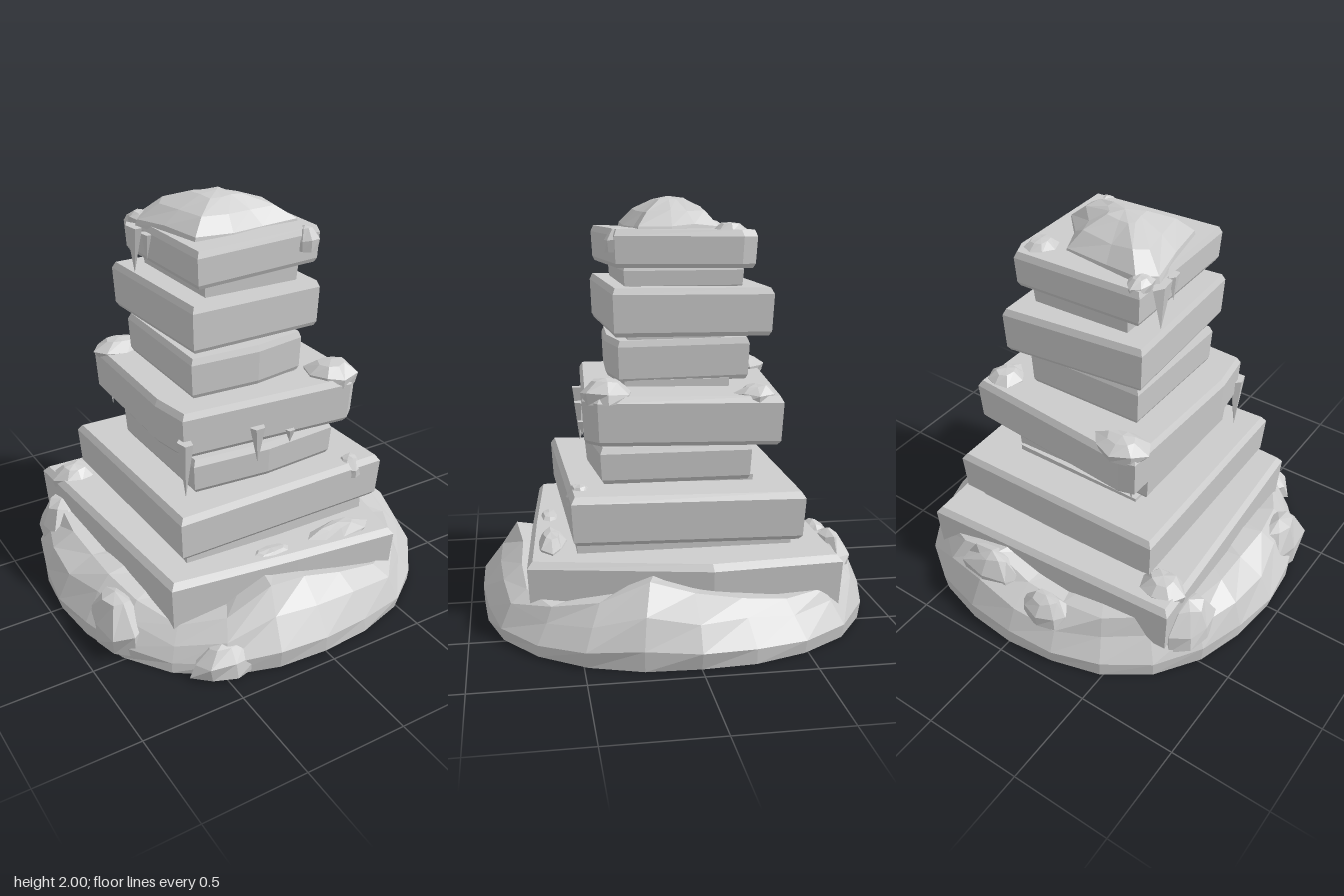
import * as THREE from 'three';

const stone = new THREE.MeshStandardMaterial({ color: 0xcccccc, flatShading: true });
stone.name = 'pale grey';

// Small seeded noise
let seed = 7;
function rand() {
  seed = (seed * 16807) % 2147483647;
  return seed / 2147483647;
}
const jitter = (a) => (rand() - 0.5) * 2 * a;

// Joins rings of [x, y, z] points (listed from +x towards +z, bottom ring first) and caps both ends
function loft(rings, topPoint) {
  const pos = [];
  const tri = (a, b, c) => pos.push(...a, ...b, ...c);
  const n = rings[0].length;
  const middle = (ring) => [0, 1, 2].map((k) => ring.reduce((s, p) => s + p[k], 0) / n);
  const last = rings[rings.length - 1];
  const low = middle(rings[0]);
  const high = topPoint || middle(last);
  for (let i = 0; i < n; i++) {
    const j = (i + 1) % n;
    for (let r = 0; r < rings.length - 1; r++) {
      const a = rings[r], b = rings[r + 1];
      tri(a[i], b[i], a[j]);
      tri(a[j], b[i], b[j]);
    }
    tri(low, rings[0][i], rings[0][j]);
    tri(high, last[j], last[i]);
  }
  const geo = new THREE.BufferGeometry();
  geo.setAttribute('position', new THREE.Float32BufferAttribute(pos, 3));
  geo.computeVertexNormals();
  return geo;
}

export function createModel() {
  const model = new THREE.Group();
  model.name = 'stackedStoneCairn';
  const add = (name, geo) => {
    const mesh = new THREE.Mesh(geo, stone);
    mesh.name = name;
    model.add(mesh);
    return mesh;
  };

  // Rocky mound: crest height every 15 degrees, from +x towards +z
  const crest = [0.27, 0.33, 0.24, 0.2, 0.22, 0.26, 0.3, 0.34, 0.24, 0.18, 0.24, 0.28,
    0.25, 0.27, 0.3, 0.29, 0.28, 0.24, 0.27, 0.35, 0.3, 0.22, 0.22, 0.24];
  const moundRing = (radius, square, height, wobble) => crest.map((c, i) => {
    const t = (i / crest.length) * Math.PI * 2;
    const r = radius * (1 + square * Math.sin(2 * t) ** 2) + jitter(wobble);
    return [Math.cos(t) * r, height < 0.02 ? 0 : c * height + jitter(wobble * 0.6), Math.sin(t) * r];
  });
  add('mound', loft([
    moundRing(0.935, 0.05, 0, 0.005),
    moundRing(0.94, 0.05, 0.28, 0.015),
    moundRing(0.87, 0.07, 0.7, 0.025),
    moundRing(0.75, 0.18, 1, 0.015),
    moundRing(0.5, 0.15, 0.95, 0),
  ]));

  // Slabs: name, bottom y, top y, slope along x, slope along z, corners [x, z]
  const slabs = [
    ['baseSlab', 0.12, 0.4, -0.035, 0, [[-0.74, -0.66], [0.65, -0.71], [0.69, -0.1], [0.54, 0.73], [0, 0.69], [-0.65, 0.63]]],
    ['secondSlab', 0.455, 0.685, -0.015, 0.02, [[-0.57, -0.55], [0.58, -0.55], [0.59, 0.53], [-0.56, 0.565]]],
    ['thirdSlab', 0.69, 0.865, -0.02, 0.01, [[-0.4, -0.32], [0.37, -0.34], [0.39, 0.38], [0, 0.42], [-0.4, 0.4]]],
    ['broadSlab', 0.89, 1.12, -0.015, 0.02, [[-0.46, -0.52], [-0.38, -0.54], [0.51, -0.455], [0.5, 0.4], [0.43, 0.465], [-0.46, 0.41], [-0.49, 0.2]]],
    ['fifthSlab', 1.14, 1.34, 0, -0.01, [[-0.35, -0.34], [0.25, -0.35], [0.26, 0.28], [0, 0.32], [-0.35, 0.3]]],
    ['sixthSlab', 1.37, 1.595, -0.03, 0.01, [[-0.4, -0.39], [0.32, -0.45], [0.335, 0.31], [-0.37, 0.355]]],
    ['neckSlab', 1.57, 1.69, 0, 0, [[-0.27, -0.31], [0.24, -0.32], [0.25, 0.25], [-0.26, 0.27]]],
    ['topSlab', 1.675, 1.85, 0, 0.01, [[-0.35, -0.34], [0.3, -0.37], [0.33, -0.3], [0.33, 0.3], [-0.34, 0.35]]],
  ];
  for (const [name, y0, y1, sx, sz, corners] of slabs) {
    const ring = (y, s) => corners.map(([x, z]) => [x * s, y + x * sx + z * sz, z * s]);
    add(name, loft([ring(y0, 0.95), ring(y0 + 0.02, 0.98), ring(y1 - 0.03, 1), ring(y1, 0.965)]));
  }

  // Narrow joints between the slabs
  const joints = [[0.4, 0.46, 0.5], [0.67, 0.7, 0.35], [0.85, 0.9, 0.31], [1.11, 1.15, 0.25], [1.33, 1.38, 0.23]];
  for (const [y0, y1, h] of joints) {
    const ring = (y) => [[-h, y, -h], [h, y, -h], [h, y, h], [-h, y, h]];
    add('joint', loft([ring(y0), ring(y1)]));
  }

  // Faceted cap on the top
  const capOutline = [[0.17, -0.1], [0.29, 0.03], [0.29, 0.19], [0.1, 0.19], [-0.08, 0.22],
    [-0.28, 0.22], [-0.32, 0], [-0.36, -0.2], [-0.29, -0.28], [-0.12, -0.26], [0.12, -0.23]];
  const capRing = (y, s, w) => capOutline.map(([x, z]) => [-0.04 + (x + 0.04) * s, y + jitter(w), z * s]);
  add('cap', loft([capRing(1.83, 1, 0), capRing(1.865, 0.97, 0.01), capRing(1.935, 0.7, 0.012), capRing(1.987, 0.3, 0.005)], [-0.04, 2, 0]));

  // Irregular clumps: centre x, base y, centre z, half width, half depth, height
  const clumps = [
    ['frontRightClump', 1.09, 0.39, 0.35, 0.12, 0.13, 0.1],
    ['backLeftClump', 1.09, -0.35, -0.46, 0.14, 0.1, 0.08],
    ['backRightClump', 1.08, 0.42, -0.34, 0.09, 0.11, 0.07],
    ['baseCornerClump', 0.38, -0.62, -0.51, 0.12, 0.11, 0.1],
    ['baseFrontClump', 0.36, 0.28, 0.61, 0.18, 0.07, 0.08],
    ['baseFrontClump', 0.37, -0.1, 0.6, 0.14, 0.06, 0.05],
    ['slabEdgeClump', 0.62, 0.43, 0.48, 0.07, 0.065, 0.09],
    ['topEdgeClump', 1.76, 0.26, 0.28, 0.065, 0.065, 0.1],
    ['topBackClump', 1.83, -0.3, -0.26, 0.06, 0.08, 0.05],
    ['topSideClump', 1.82, 0.24, -0.25, 0.08, 0.09, 0.06],
    ['moundRock', 0.02, -0.46, 0.78, 0.19, 0.12, 0.14],
    ['moundRock', 0.04, -0.8, 0.34, 0.12, 0.2, 0.23],
    ['moundRock', 0.2, 0.22, -0.77, 0.2, 0.09, 0.17],
    ['moundRock', 0.17, -0.14, -0.8, 0.14, 0.09, 0.13],
    ['moundRock', 0.13, -0.73, -0.45, 0.13, 0.16, 0.2],
  ];
  for (const [name, y, x, z, w, d, h] of clumps) {
    const ring = (dy, s) => Array.from({ length: 8 }, (_, i) => {
      const t = (i / 8) * Math.PI * 2;
      const r = s * (1 + jitter(0.15));
      return [x + Math.cos(t) * w * r, y + dy + jitter(h * 0.08), z + Math.sin(t) * d * r];
    });
    add(name, loft([ring(-0.01, 0.92), ring(h * 0.4, 0.95), ring(h * 0.88, 0.5)], [x, y + h, z]));
  }

  // Hanging spikes: top y, tip y, x, z, half width along x, half depth along z
  const spikes = [
    [0.99, 0.8, -0.08, 0.44, 0.04, 0.03],
    [0.93, 0.86, 0.1, 0.44, 0.025, 0.025],
    [1.0, 0.71, -0.45, 0.41, 0.035, 0.05],
    [1.83, 1.6, -0.37, -0.2, 0.03, 0.07],
    [1.82, 1.69, -0.36, -0.09, 0.02, 0.04],
    [0.95, 0.8, -0.4, -0.46, 0.02, 0.02],
  ];
  for (const [top, tip, x, z, w, d] of spikes) {
    const spike = add('spike', new THREE.ConeGeometry(1, 1, 5));
    spike.rotation.x = Math.PI;
    spike.scale.set(w, top - tip, d);
    spike.position.set(x, (top + tip) / 2, z);
  }

  return model;
}
